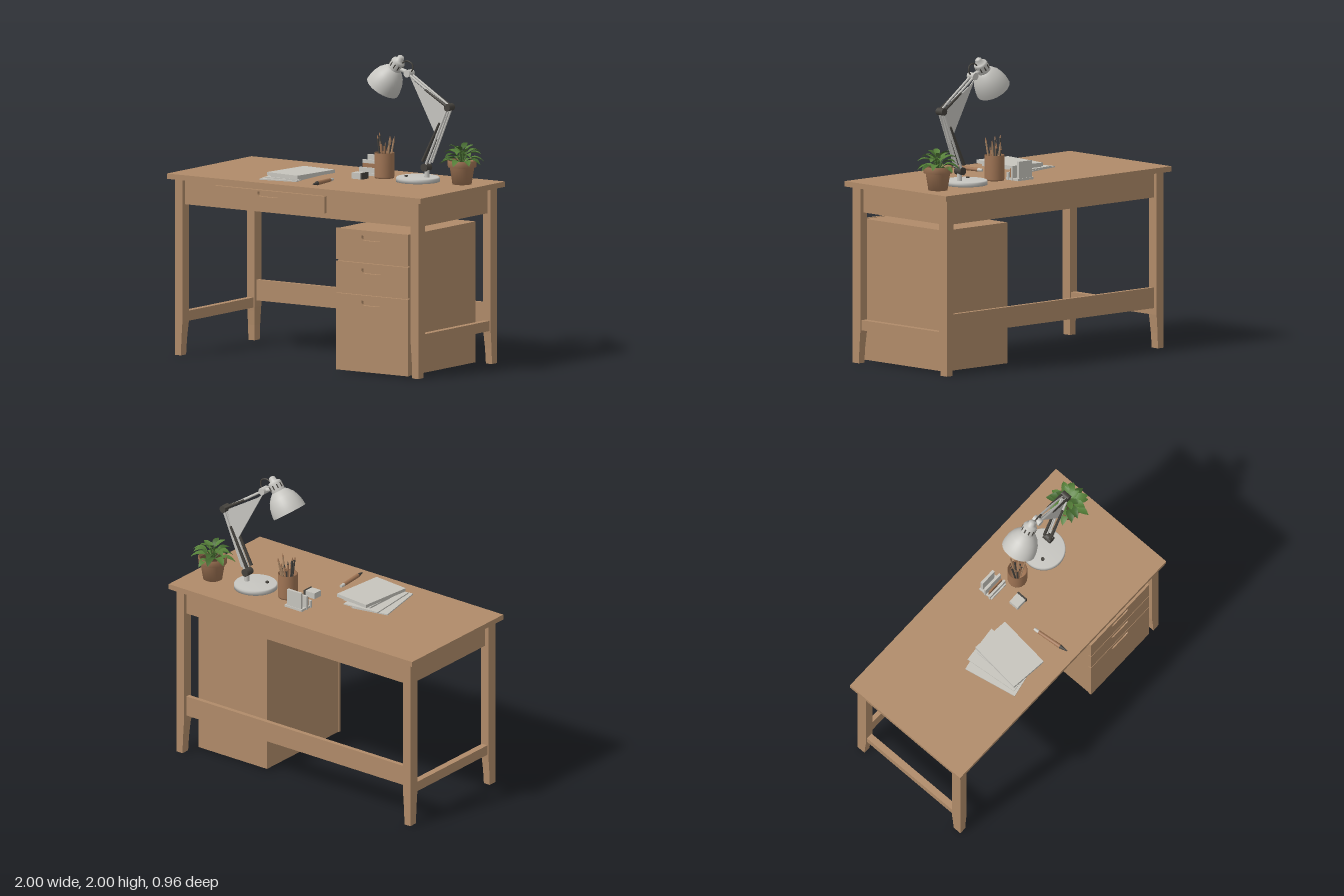
import * as THREE from 'three';

const mat = (name, color, side = THREE.FrontSide) => {
  const m = new THREE.MeshStandardMaterial({ color, side });
  m.name = name;
  return m;
};
const V = (x, y, z) => new THREE.Vector3(x, y, z);

export function createModel() {
  const model = new THREE.Group();
  model.name = 'desk';
  const wood = mat('wood', 0xb08b69);
  const clay = mat('clay', 0x9f7454, THREE.DoubleSide);
  const paper = mat('paper', 0xc6c4bd);
  const enamel = mat('lamp enamel', 0xc6c5c0, THREE.DoubleSide);
  const dark = mat('dark metal', 0x45423d);
  const leafGreen = mat('leaf green', 0x557f38, THREE.DoubleSide);
  const darkGreen = mat('dark leaf green', 0x41652c, THREE.DoubleSide);
  const soil = mat('soil', 0x4a3626);

  const add = (name, geo, material, pos = V(0, 0, 0), parent = model) => {
    const m = new THREE.Mesh(geo, material);
    m.name = name;
    m.position.copy(pos);
    parent.add(m);
    return m;
  };
  // Box given by its lower and upper limits
  const box = (name, x0, x1, y0, y1, z0, z1, material = wood) =>
    add(name, new THREE.BoxGeometry(x1 - x0, y1 - y0, z1 - z0), material,
      V((x0 + x1) / 2, (y0 + y1) / 2, (z0 + z1) / 2));
  // Round rod between two points
  const rod = (name, a, b, r0, r1, material, parent = model, sides = 12) => {
    const d = b.clone().sub(a);
    const m = add(name, new THREE.CylinderGeometry(r1, r0, d.length(), sides), material,
      a.clone().add(b).multiplyScalar(0.5), parent);
    m.quaternion.setFromUnitVectors(V(0, 1, 0), d.normalize());
    return m;
  };
  const lathe = (pts, seg = 32) =>
    new THREE.LatheGeometry(pts.map(p => new THREE.Vector2(...p)), seg);

  // Desk frame
  box('tabletop', -1, 1, 1.15, 1.185, -0.478, 0.478);
  box('apron', -0.935, 0.935, 0.985, 1.15, -0.42, 0.415);
  box('backStretcher', -0.92, 0.92, 0.262, 0.397, -0.42, -0.39);
  for (const sx of [-1, 1]) {
    box('sideStretcher', sx * 0.93 - 0.022, sx * 0.93 + 0.022, 0.217, 0.283, -0.39, 0.39);
    for (const sz of [-1, 1]) {
      // Leg with its two inner faces tapering towards the foot
      const geo = new THREE.BoxGeometry(0.06, 1.15, 0.074, 1, 4, 1);
      const p = geo.attributes.position;
      const levels = [0, 0.1, 0.19, 0.22, 1.15], cut = [1, 0.7, 0.2, 0, 0];
      for (let i = 0; i < p.count; i++) {
        const k = Math.round((p.getY(i) / 1.15 + 0.5) * 4);
        p.setY(i, levels[k]);
        if (p.getX(i) * sx < 0) p.setX(i, p.getX(i) + sx * 0.012 * cut[k]);
        if (p.getZ(i) * sz < 0) p.setZ(i, p.getZ(i) + sz * 0.015 * cut[k]);
      }
      const flat = geo.toNonIndexed();
      flat.computeVertexNormals();
      add('leg', flat, wood, V(sx * 0.93, 0, sz * 0.408));
    }
  }

  // Drawer fronts with a finger slot cut through the panel
  const drawer = (name, x0, x1, y0, y1, cx, top, w, z) => {
    const s = new THREE.Shape([[x0, y0], [x1, y0], [x1, y1], [x0, y1]].map(p => new THREE.Vector2(...p)));
    const h = new THREE.Path(), a = w / 2, d = 0.032;
    h.moveTo(cx - a, top);
    h.lineTo(cx - a, top - 0.008);
    h.quadraticCurveTo(cx - a, top - d, cx - a + 0.028, top - d);
    h.lineTo(cx + a - 0.028, top - d);
    h.quadraticCurveTo(cx + a, top - d, cx + a, top - 0.008);
    h.lineTo(cx + a, top);
    h.closePath();
    s.holes.push(h);
    add(name, new THREE.ExtrudeGeometry(s, { depth: 0.022, bevelEnabled: false, curveSegments: 6 }), wood, V(0, 0, z));
  };
  drawer('deskDrawer', -0.655, 0.215, 1.02, 1.13, -0.23, 1.12, 0.17, 0.415);
  box('cabinetBody', 0.312, 0.873, 0.012, 0.932, -0.325, 0.42);
  for (const [y0, y1] of [[0.73, 0.935], [0.52, 0.72], [0.01, 0.51]])
    drawer('cabinetDrawer', 0.31, 0.875, y0, y1, 0.59, y1 - 0.035, 0.16, 0.42);

  // Loose paper stack
  for (const [x, z, y, t, a] of [[-0.255, 0.16, 1.185, 0.008, 0.2], [-0.215, 0.145, 1.195, 0.008, 0.1], [-0.165, 0.16, 1.212, 0.022, -0.1]])
    add('paperStack', new THREE.BoxGeometry(0.26, t, 0.37), paper, V(x, y + t / 2, z)).rotation.y = a;
  add('paperFiller', new THREE.BoxGeometry(0.22, 0.012, 0.33), paper, V(-0.18, 1.207, 0.155));

  // Pen
  rod('penBody', V(0.085, 1.199, 0.19), V(0.103, 1.199, 0.36), 0.012, 0.014, clay);
  rod('penCap', V(0.082, 1.199, 0.155), V(0.085, 1.199, 0.19), 0.009, 0.012, paper);
  rod('penTip', V(0.103, 1.199, 0.36), V(0.109, 1.199, 0.415), 0.014, 0.003, dark);

  // Card holder and eraser
  box('cardHolderBase', 0.05, 0.19, 1.185, 1.2, -0.295, -0.185, paper);
  box('cardHolderFront', 0.045, 0.195, 1.185, 1.235, -0.21, -0.195, paper);
  box('cardHolderMiddle', 0.06, 0.18, 1.2, 1.26, -0.222, -0.212, clay);
  box('cardHolderDivider', 0.045, 0.195, 1.185, 1.28, -0.25, -0.235, paper);
  box('cards', 0.06, 0.175, 1.2, 1.31, -0.29, -0.272, paper);
  box('eraser', 0.11, 0.185, 1.185, 1.225, -0.085, -0.015, paper);
  box('eraserSleeve', 0.185, 0.197, 1.185, 1.227, -0.087, -0.013, dark);

  // Pencil cup
  const cup = V(0.27, 1.187, -0.16);
  add('pencilCup', lathe([[0, 0], [0.062, 0], [0.064, 0.01], [0.065, 0.165], [0.06, 0.165], [0.058, 0.02], [0, 0.02]], 28), clay, cup);
  for (let i = 0; i < 11; i++) {
    const a = i * 2.4, r = 0.02 + 0.025 * (i % 3) / 2, h = 0.2 + 0.07 * ((i * 5) % 7) / 6;
    const foot = cup.clone().add(V(Math.cos(a) * r * 0.5, 0.025, Math.sin(a) * r * 0.5));
    const top = cup.clone().add(V(Math.cos(a) * r * 1.35, h, Math.sin(a) * r * 1.35));
    const tip = top.clone().add(top.clone().sub(foot).normalize().multiplyScalar(0.022));
    const m = [clay, dark, wood][i % 3];
    rod('pencil', foot, top, 0.006, 0.006, m, model, 6);
    rod('pencilTip', top, tip, 0.006, 0.001, i % 3 ? clay : dark, model, 6);
  }

  // Desk lamp
  const lamp = new THREE.Group();
  lamp.name = 'lamp';
  model.add(lamp);
  add('lampBase', lathe([[0, 0], [0.142, 0], [0.142, 0.022], [0.136, 0.03], [0, 0.032]], 40), enamel, V(0.53, 1.185, -0.165), lamp);
  add('baseButton', new THREE.CylinderGeometry(0.012, 0.012, 0.008, 12), dark, V(0.47, 1.22, -0.12), lamp);
  rod('lampPost', V(0.595, 1.21, -0.175), V(0.595, 1.275, -0.175), 0.018, 0.016, enamel, lamp);
  const hip = V(0.59, 1.28, -0.175), elbow = V(0.765, 1.685, -0.185), wrist = V(0.465, 1.885, -0.16);
  const shift = (p, dx, dy, dz) => p.clone().add(V(dx, dy, dz));
  for (const s of [-1, 1]) {
    rod('lowerArm', shift(hip, 0, 0, s * 0.02), shift(elbow, 0, 0, s * 0.02), 0.008, 0.008, enamel, lamp, 8);
    rod('lowerArmBack', shift(hip, 0.035, 0.03, s * 0.014), shift(elbow, 0.012, 0, s * 0.014), 0.006, 0.006, enamel, lamp, 8);
    rod('lowerSpring', V(0.577, 1.32, -0.175 + s * 0.024), V(0.705, 1.58, -0.182 + s * 0.024), 0.011, 0.008, dark, lamp, 8);
    rod('upperArm', shift(elbow, 0, 0, s * 0.016), shift(wrist, 0, 0, s * 0.016), 0.008, 0.008, enamel, lamp, 8);
    rod('upperSpring', V(0.755, 1.695, -0.184 + s * 0.022), V(0.6, 1.79, -0.171 + s * 0.022), 0.01, 0.008, dark, lamp, 8);
  }
  for (const [p, r] of [[hip, 0.026], [elbow, 0.024], [wrist, 0.024]])
    rod('lampJoint', shift(p, 0, 0, -0.03), shift(p, 0, 0, 0.03), r, r, p === wrist ? enamel : dark, lamp, 16);
  // Thin web between the two arms
  const web = new THREE.Shape([[0.455, 1.875], [0.685, 1.46], [0.755, 1.675], [0.5, 1.83]].map(p => new THREE.Vector2(...p)));
  add('armWeb', new THREE.ExtrudeGeometry(web, { depth: 0.006, bevelEnabled: false }), enamel, V(0, 0, -0.178), lamp);

  // Lamp head, built along its own axis from the rim to the cap
  const head = new THREE.Group();
  head.name = 'lampHead';
  head.position.set(0.267, 1.78, -0.145);
  head.quaternion.setFromUnitVectors(V(0, 1, 0), V(0.56, 0.82, -0.03).normalize());
  lamp.add(head);
  add('shade', lathe([[0.115, 0], [0.113, 0.03], [0.105, 0.07], [0.088, 0.11], [0.062, 0.143], [0.046, 0.155]], 40), enamel, undefined, head);
  add('shadeNeck', lathe([[0.046, 0.155], [0.046, 0.21], [0.04, 0.222], [0.024, 0.228], [0.022, 0.25], [0.014, 0.258], [0, 0.26]], 28), enamel, undefined, head);
  add('bulb', new THREE.SphereGeometry(0.045, 16, 12), enamel, V(0, 0.07, 0), head);
  for (let i = 0; i < 10; i++) {
    const a = i * Math.PI / 5;
    const slot = add('ventSlot', new THREE.BoxGeometry(0.004, 0.03, 0.007), dark, V(Math.cos(a) * 0.046, 0.188, Math.sin(a) * 0.046), head);
    slot.rotation.y = -a;
  }
  rod('headBracket', V(0.385, 1.915, -0.15), wrist, 0.014, 0.014, enamel, lamp);
  const cable = new THREE.CatmullRomCurve3([V(0.41, 1.945, -0.15), V(0.45, 1.965, -0.152), V(0.49, 1.95, -0.155), V(0.495, 1.915, -0.158), V(0.465, 1.88, -0.16)]);
  add('cable', new THREE.TubeGeometry(cable, 20, 0.005, 8), dark, undefined, lamp);

  // Potted plant
  const plant = new THREE.Group();
  plant.name = 'plant';
  plant.position.set(0.835, 1.185, -0.227);
  model.add(plant);
  add('pot', lathe([[0, 0], [0.062, 0], [0.08, 0.112], [0.092, 0.112], [0.095, 0.155], [0.086, 0.155], [0.082, 0.125]], 32), clay, undefined, plant);
  add('soil', new THREE.CylinderGeometry(0.083, 0.083, 0.01, 24), soil, V(0, 0.133, 0), plant);
  // Arched, creased leaf growing along +x
  const leaf = (len, wid, rise, droop) => {
    const g = new THREE.PlaneGeometry(1, 1, 6, 2), p = g.attributes.position;
    for (let i = 0; i < p.count; i++) {
      const t = p.getX(i) + 0.5, s = p.getY(i) * 2;
      const half = wid * 0.5 * Math.pow(Math.sin(Math.PI * Math.pow(t, 0.75)), 0.8) || 0;
      p.setXYZ(i, t * len, rise * t - droop * t * t + Math.abs(s) * half * 0.35, -s * half);
    }
    g.computeVertexNormals();
    return g;
  };
  const rings = [[9, 0.045, 0.155, 0.1, 0.055, 0.045, 0.065], [8, 0.035, 0.19, 0.095, 0.052, 0.07, 0.065], [6, 0.016, 0.215, 0.07, 0.042, 0.065, 0.03]];
  rings.forEach(([n, r, y, len, wid, rise, droop], k) => {
    for (let i = 0; i < n; i++) {
      const a = (i + k * 0.4) * 2 * Math.PI / n + 0.15 * Math.sin(i * 4 + k);
      const m = add('leaf', leaf(len * (1 + 0.1 * Math.sin(i * 3)), wid, rise, droop), (i + k) % 3 ? leafGreen : darkGreen,
        V(Math.cos(a) * r, y + 0.012 * Math.sin(i * 2.3), -Math.sin(a) * r), plant);
      m.rotation.y = a;
      rod('leafStem', V(0, 0.13, 0), m.position, 0.004, 0.003, darkGreen, plant, 6);
    }
  });
  return model;
}
